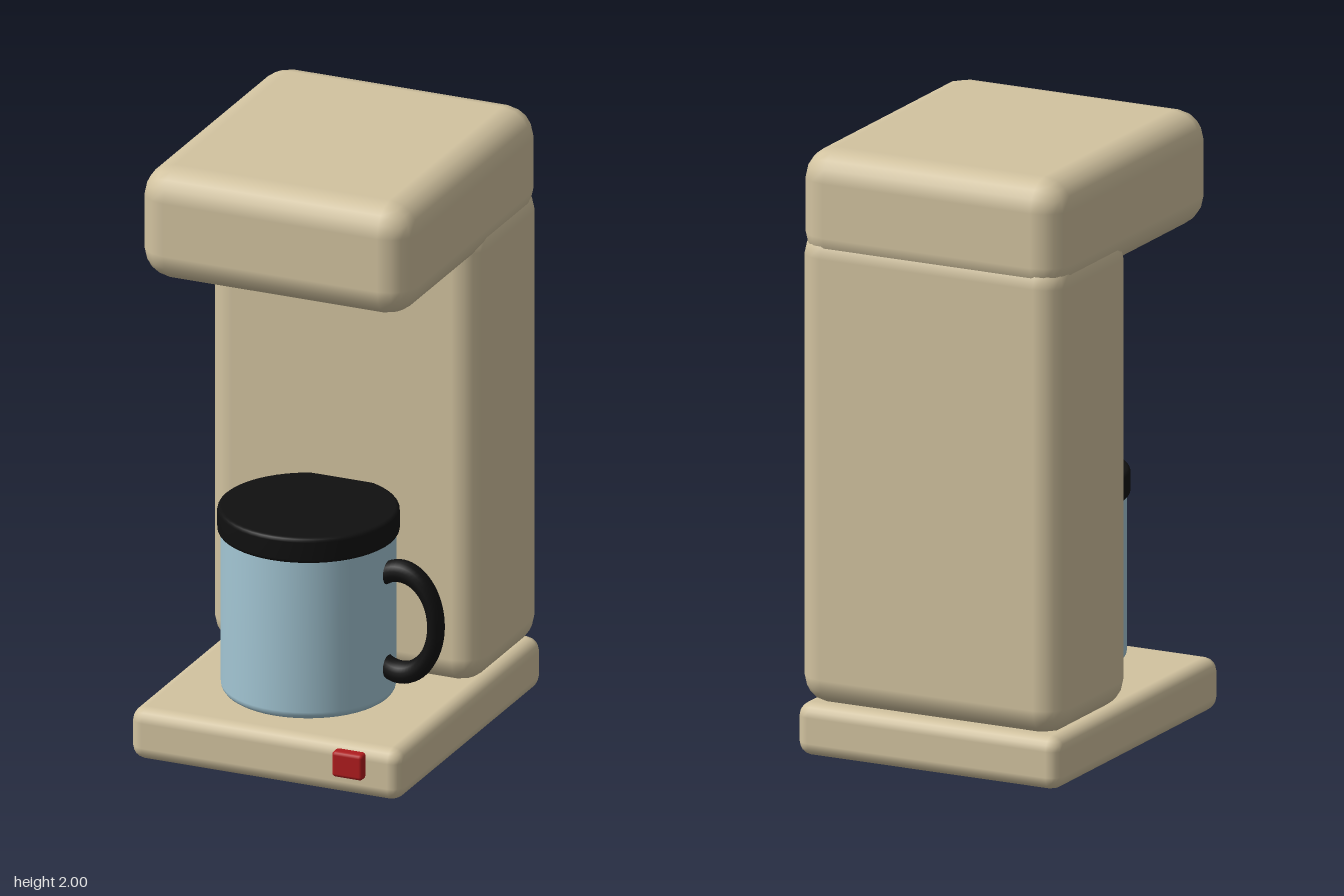
import * as THREE from 'three';
import { RoundedBoxGeometry } from 'three/addons/geometries/RoundedBoxGeometry.js';

const mat = (name, color) => {
  const m = new THREE.MeshStandardMaterial({ color });
  m.name = name;
  return m;
};

export function createModel() {
  const group = new THREE.Group();
  const beige = mat('beige plastic', 0xd2c3a0);
  const blue = mat('pale blue', 0xa3c6d4);
  const black = mat('black plastic', 0x101010);
  const red = mat('red button', 0xb01c1e);

  const add = (name, geometry, material) => {
    const mesh = new THREE.Mesh(geometry, material);
    mesh.name = name;
    group.add(mesh);
    return mesh;
  };

  // Rounded box given by its limits on each axis
  const box = (name, [x0, x1], [y0, y1], [z0, z1], radius, material) => {
    const g = new RoundedBoxGeometry(x1 - x0, y1 - y0, z1 - z0, 2, radius);
    g.translate((x0 + x1) / 2, (y0 + y1) / 2, (z0 + z1) / 2);
    return add(name, g, material);
  };

  // Solid round body with softened top and bottom rims
  const drum = (name, radius, y0, y1, bevel, material) => {
    const pts = [new THREE.Vector2(0, y0), new THREE.Vector2(radius - bevel, y0)];
    for (const [cy, start] of [[y0 + bevel, -Math.PI / 2], [y1 - bevel, 0]]) {
      for (let i = 0; i <= 4; i++) {
        const a = start + (i / 4) * Math.PI / 2;
        pts.push(new THREE.Vector2(radius - bevel + bevel * Math.cos(a), cy + bevel * Math.sin(a)));
      }
    }
    pts.push(new THREE.Vector2(0, y1));
    const mesh = add(name, new THREE.LatheGeometry(pts, 48), material);
    mesh.position.z = 0.2;
    return mesh;
  };

  // Machine body
  box('base', [-0.472, 0.472], [0, 0.175], [-0.572, 0.545], 0.045, beige);
  box('column', [-0.472, 0.472], [0.17, 1.74], [-0.572, -0.057], 0.09, beige);
  box('head', [-0.472, 0.472], [1.62, 2], [-0.572, 0.5], 0.1, beige);
  box('powerButton', [0.245, 0.352], [0.068, 0.155], [0.5, 0.572], 0.012, red);

  // Mug with lid
  drum('mug', 0.279, 0.195, 0.76, 0.028, blue);
  drum('lid', 0.29, 0.735, 0.822, 0.014, black);

  // Handle: an oval ring whose ends sink into the mug
  const arc = Math.PI * 1.3;
  const ring = new THREE.TorusGeometry(0.173, 0.037, 14, 40, arc);
  ring.rotateZ(-arc / 2);
  const handle = add('handle', ring, black);
  handle.scale.x = 0.71;
  handle.position.set(0.322, 0.478, 0.203);

  return group;
}
